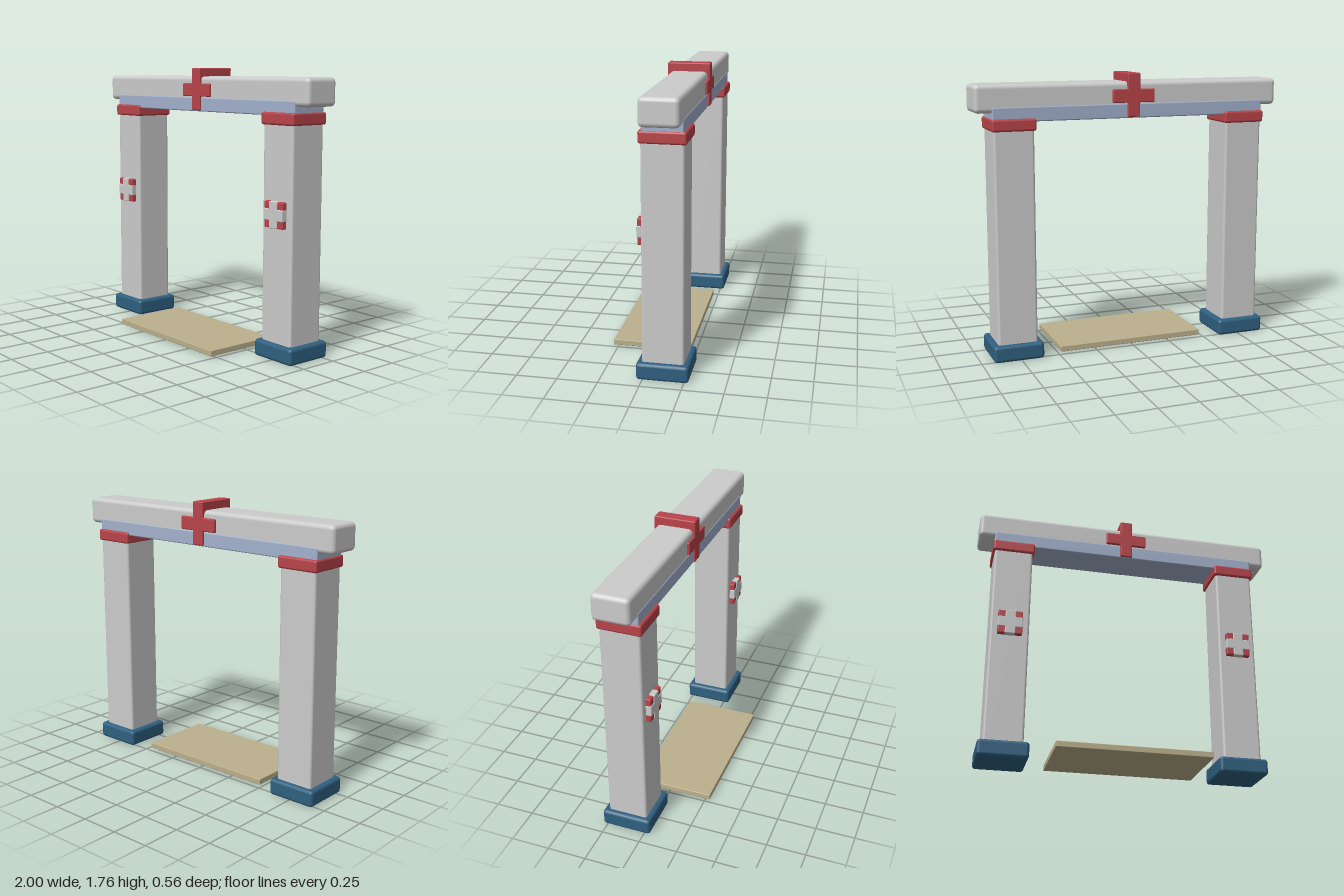
import * as THREE from 'three';
import { RoundedBoxGeometry } from 'three/addons/geometries/RoundedBoxGeometry.js';

const material = (color) => new THREE.MeshStandardMaterial({ color });
const stone = material(0xcccccc);
const red = material(0xb8444a);
const navy = material(0x2f6080);
const paleBlue = material(0xa3b1cc);
const sand = material(0xbcb08c);

const AXIS_Z = -0.12; // centre line of the gate

// Rounded box given by its extents; radius 0 gives a plain box
function block(name, mat, [x0, x1], [y0, y1], [z0, z1], radius = 0) {
  const size = [x1 - x0, y1 - y0, z1 - z0];
  const geometry = radius
    ? new RoundedBoxGeometry(...size, 2, radius)
    : new THREE.BoxGeometry(...size);
  const mesh = new THREE.Mesh(geometry, mat);
  mesh.name = name;
  mesh.position.set((x0 + x1) / 2, (y0 + y1) / 2, (z0 + z1) / 2);
  return mesh;
}

const around = (centre, half) => [centre - half, centre + half];

// Pillar with foot, capital and a front plaque, centred on x = 0
function createPillar(name) {
  const pillar = new THREE.Group();
  pillar.name = name;
  pillar.add(
    block('foot', navy, around(0, 0.16), [0, 0.105], around(AXIS_Z, 0.158), 0.02),
    block('shaft', stone, around(0, 0.126), [0.01, 1.44], around(AXIS_Z, 0.127), 0.016),
    block('capital', red, around(0, 0.138), [1.425, 1.5], around(AXIS_Z, 0.14), 0.014),
    block('plaquePanel', red, around(0, 0.079), [0.815, 0.975], [-0.005, 0.038], 0.006),
    block('plaqueUpright', stone, around(0, 0.034), [0.813, 0.977], [-0.005, 0.043], 0.006),
    block('plaqueBar', stone, around(0, 0.081), around(0.895, 0.036), [-0.005, 0.043], 0.006)
  );
  return pillar;
}

// Cross ornament on both beam faces, joined by a strap over the top
function createCrossStrap() {
  const strap = new THREE.Group();
  strap.name = 'crossStrap';
  const faces = { front: [-0.015, 0.014], back: [-0.255, -0.225] };
  for (const [side, z] of Object.entries(faces)) {
    strap.add(
      block(side + 'Upright', red, around(0, 0.041), [1.487, 1.758], z, 0.007),
      block(side + 'Bar', red, around(0, 0.137), around(1.618, 0.042), z, 0.007)
    );
  }
  strap.add(block('strapTop', red, around(0, 0.041), [1.69, 1.758], [-0.255, 0.014], 0.007));
  return strap;
}

export function createModel() {
  const gate = new THREE.Group();
  gate.name = 'gate';

  // Pillars
  for (const [side, name] of [[1, 'leftPillar'], [-1, 'rightPillar']]) {
    const pillar = createPillar(name);
    pillar.position.x = side * 0.765;
    gate.add(pillar);
  }

  // Lintel
  gate.add(
    block('lowerBeam', paleBlue, around(0, 0.895), [1.48, 1.57], around(AXIS_Z, 0.122), 0.008),
    block('beam', stone, around(0, 1), [1.535, 1.705], around(AXIS_Z, 0.118), 0.028),
    createCrossStrap()
  );

  // Threshold slab
  gate.add(block('threshold', sand, around(0, 0.483), [0.005, 0.042], [-0.22, 0.28], 0.004));

  return gate;
}
